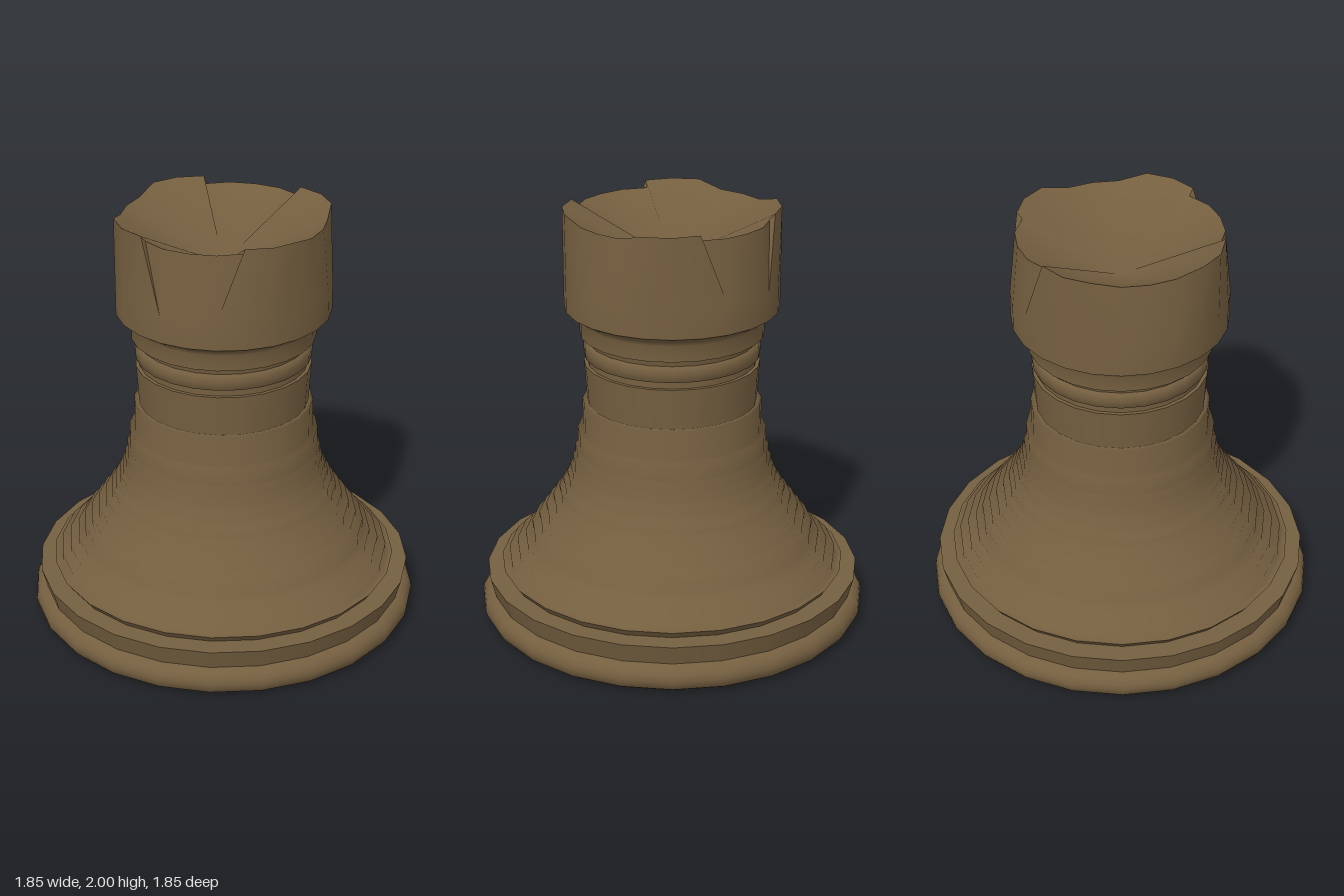
import * as THREE from 'three';

const SIDES = 24;

export function createModel() {
  const group = new THREE.Group();
  const wood = new THREE.MeshStandardMaterial({ color: 0x755f40, side: THREE.DoubleSide });
  wood.name = 'brown wood';

  const add = (name, geometry) => {
    const mesh = new THREE.Mesh(geometry, wood);
    mesh.name = name;
    group.add(mesh);
  };
  const turned = (name, profile) =>
    add(name, new THREE.LatheGeometry(profile.map(([r, y]) => new THREE.Vector2(r, y)), SIDES));

  // Foot: flat underside and a half-round rim
  turned('underside', [[0, 0], [0.86, 0]]);
  const rim = [];
  for (let i = 0; i <= 8; i++) {
    const a = -Math.PI / 2 + (i / 8) * Math.PI;
    rim.push([0.86 + 0.065 * Math.cos(a), 0.066 + 0.066 * Math.sin(a)]);
  }
  turned('footRim', rim);
  turned('footFlare', [[0.87, 0.13], [0.895, 0.225]]);
  turned('footLedge', [[0.895, 0.225], [0.8, 0.225]]);
  turned('firstStep', [[0.8, 0.225], [0.825, 0.26]]);

  // Stepped body: each entry is a radius and the height where that step ends
  const steps = [
    [0.79, 0.30], [0.75, 0.34], [0.71, 0.38], [0.675, 0.435], [0.64, 0.48],
    [0.605, 0.53], [0.57, 0.58], [0.54, 0.625], [0.52, 0.66], [0.5, 0.70],
    [0.485, 0.735], [0.472, 0.78], [0.46, 0.835], [0.447, 0.925], [0.422, 1.07],
  ];
  const body = [[0.825, 0.26]];
  let y = 0.26;
  for (const [r, end] of steps) {
    body.push([r, y], [r, end]);
    y = end;
  }
  body.push([0.4, 1.07]);
  turned('steppedBody', body);

  // Neck, ring and collar
  turned('neck', [[0.4, 1.07], [0.412, 1.265]]);
  turned('neckLedge', [[0.412, 1.265], [0.395, 1.265]]);
  turned('neckGroove', [[0.395, 1.265], [0.395, 1.295]]);
  turned('neckRing', [[0.395, 1.295], [0.411, 1.3], [0.414, 1.335], [0.411, 1.365], [0.395, 1.372]]);
  turned('upperGroove', [[0.395, 1.372], [0.402, 1.405]]);
  turned('collarUnderside', [[0.402, 1.405], [0.43, 1.405]]);
  turned('collar', [[0.43, 1.405], [0.43, 1.48], [0.45, 1.505], [0.5, 1.535]]);

  // Crown: four raised corners, with cut slits beside the front and back gaps
  const at = (i, r, h) => {
    const a = (i / SIDES) * Math.PI * 2;
    return [r * Math.cos(a), h, r * Math.sin(a)];
  };
  const isRaised = (i) => i % 6 >= 2 && i % 6 <= 4;
  const isSlit = (i) => [4, 8, 16, 20].includes(i);
  const verts = [];
  const push = (p) => verts.push(p) - 1;
  const low = [], mid = [], top = [], behind = [];
  for (let i = 0; i < SIDES; i++) {
    low.push(push(at(i, 0.5, 1.535)));
    mid.push(push(at(i, 0.5, 1.66)));
    const r = isSlit(i) ? 0.478 : isRaised(i) ? 0.5 : 0.468;
    top.push(push(at(i, r, isRaised(i) ? 2 : 1.97)));
    behind.push(isSlit(i) ? push(at(i, 0.452, 1.97)) : top[i]);
  }
  const outer = [], inner = [], walls = [];
  const apex = push([0, 1.75, 0]);
  for (let i = 0; i < SIDES; i++) {
    const j = (i + 1) % SIDES;
    outer.push(low[j], low[i], mid[i], low[j], mid[i], mid[j]);
    if (isRaised(i) === isRaised(j)) {
      outer.push(mid[j], mid[i], top[i], mid[j], top[i], top[j]);
      inner.push(apex, top[j], top[i]);
      continue;
    }
    if (isRaised(j)) {
      outer.push(mid[j], mid[i], top[j], mid[i], top[i], behind[j]);
      inner.push(apex, behind[j], top[i]);
      if (isSlit(j)) {
        walls.push(mid[i], behind[j], top[j]);
        inner.push(apex, top[j], behind[j]);
      }
    } else {
      outer.push(mid[j], mid[i], top[i], mid[j], behind[i], top[j]);
      inner.push(apex, top[j], behind[i]);
      if (isSlit(i)) {
        walls.push(mid[j], top[i], behind[i]);
        inner.push(apex, behind[i], top[i]);
      }
    }
  }
  const surface = (name, index) => {
    const geometry = new THREE.BufferGeometry();
    geometry.setAttribute('position', new THREE.Float32BufferAttribute(verts.flat(), 3));
    geometry.setIndex(index);
    geometry.computeVertexNormals();
    add(name, geometry);
  };
  surface('crownOuter', outer);
  surface('crownBowl', inner);
  surface('crownSlitWalls', walls);

  return group;
}
